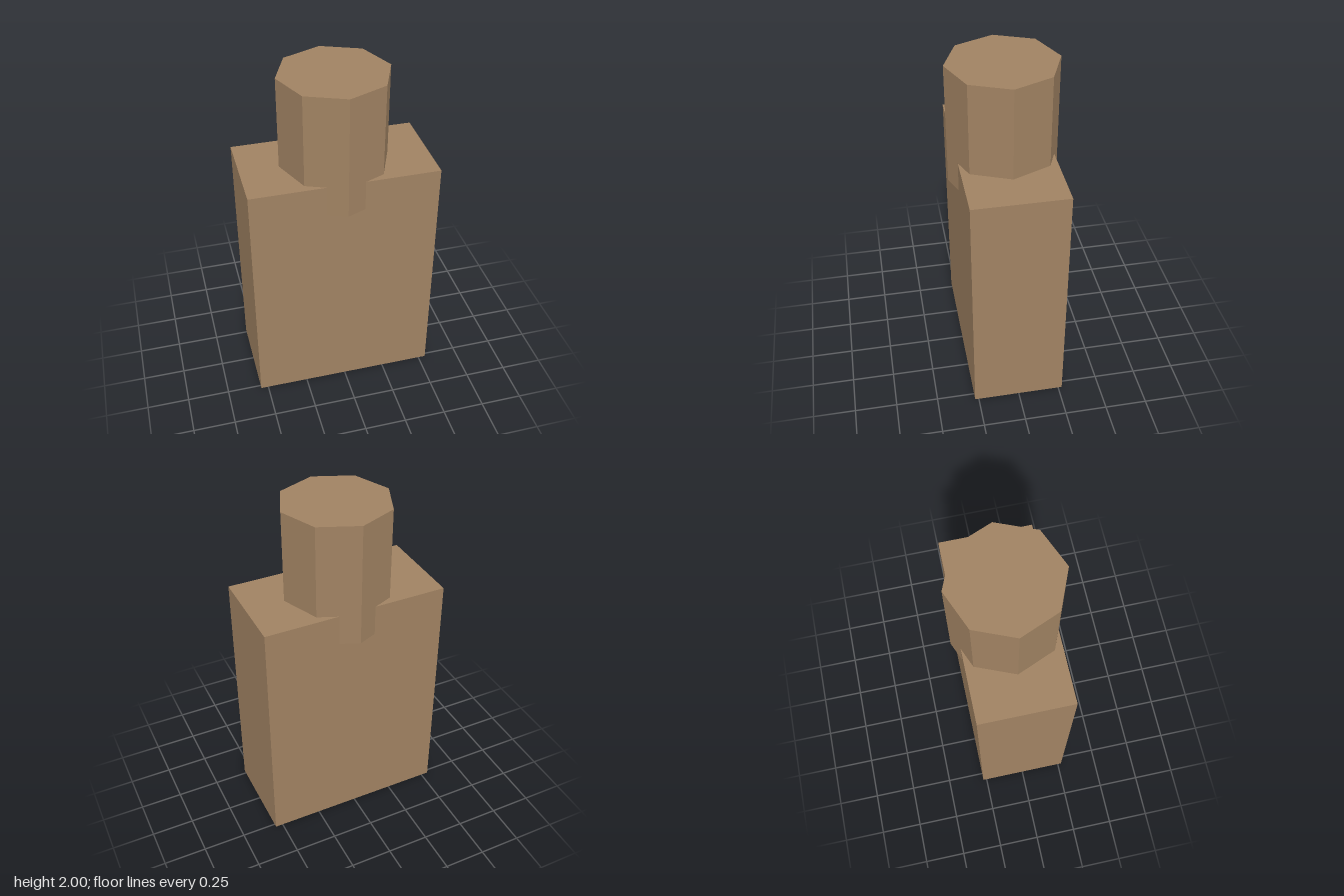
import * as THREE from 'three';

export function createModel() {
  const model = new THREE.Group();
  const tan = new THREE.MeshStandardMaterial({ color: 0xa08262 });
  tan.name = 'tan';

  const addPart = (name, geometry, y) => {
    // Unshared vertices and face normals keep every facet flat
    const flat = geometry.toNonIndexed();
    flat.computeVertexNormals();
    const mesh = new THREE.Mesh(flat, tan);
    mesh.name = name;
    mesh.position.y = y;
    model.add(mesh);
  };

  // Slab-shaped body standing on the ground
  const bodyHeight = 1.455;
  addPart('body', new THREE.BoxGeometry(1.09, bodyHeight, 0.545), bodyHeight / 2);

  // Eight-sided neck, sunk into the body, with corners poking out front and back
  const neckBottom = 1.273, neckTop = 2;
  addPart('neck', new THREE.CylinderGeometry(0.318, 0.318, neckTop - neckBottom, 8), (neckBottom + neckTop) / 2);

  return model;
}
